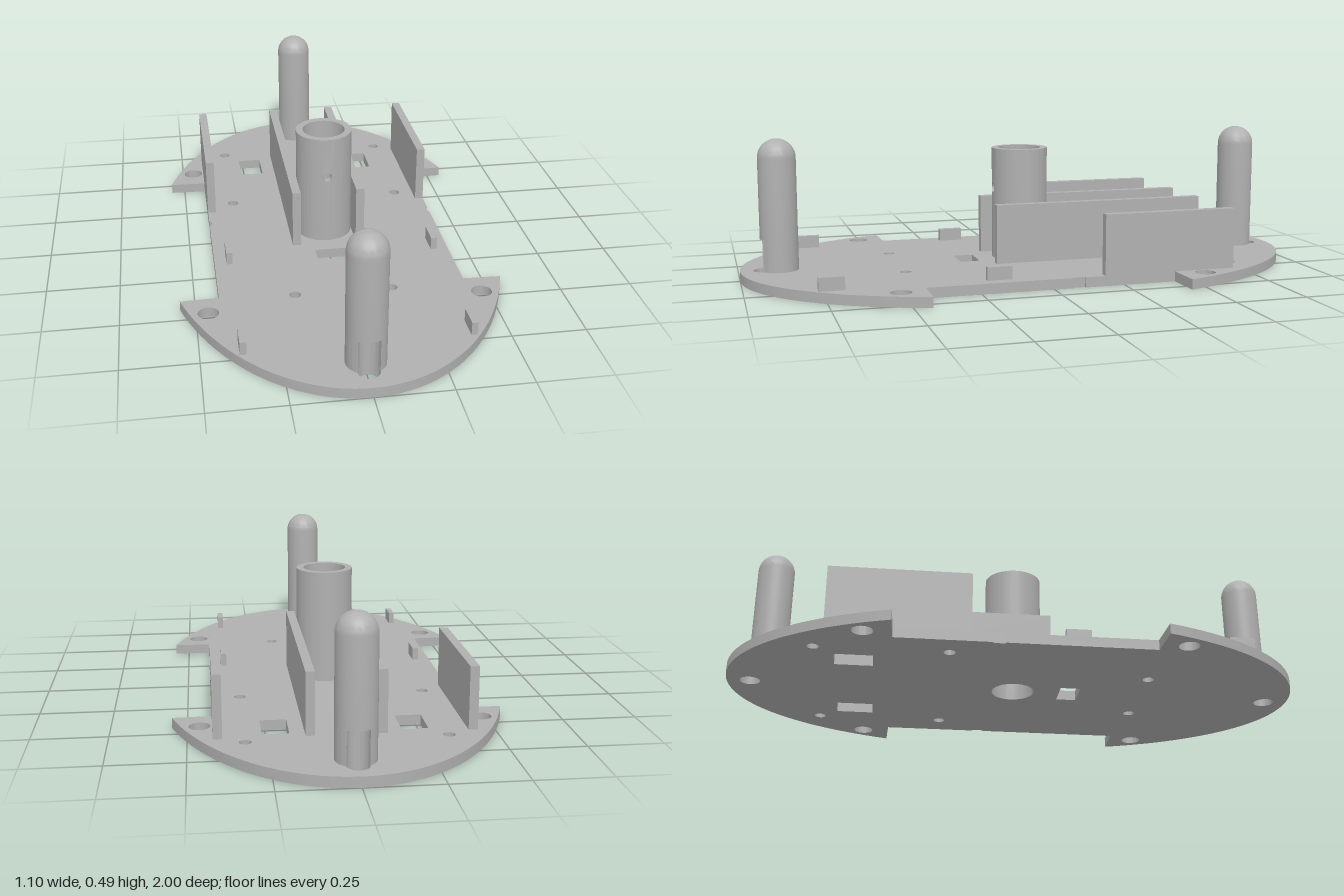
import * as THREE from 'three';
import { toCreasedNormals } from 'three/addons/utils/BufferGeometryUtils.js';

const T = 0.035; // base plate thickness

// Path helpers: plan shapes use (x, -z)
function circle(x, z, r) {
  return new THREE.Path().absarc(x, -z, r, 0, Math.PI * 2, false);
}
function rect(x0, x1, z0, z1) {
  return new THREE.Path([[x0, -z0], [x1, -z0], [x1, -z1], [x0, -z1]].map(p => new THREE.Vector2(...p)));
}
// Raise a plan shape upright from y0 to y1
function raise(shape, y0, y1, segments = 24) {
  const g = new THREE.ExtrudeGeometry(shape, { depth: y1 - y0, bevelEnabled: false, curveSegments: segments });
  g.rotateX(-Math.PI / 2).translate(0, y0, 0);
  return toCreasedNormals(g, 0.5);
}

export function createModel() {
  const model = new THREE.Group();
  model.name = 'chassis';
  const grey = new THREE.MeshStandardMaterial({ color: 0xb0b0b0 });
  grey.name = 'grey plastic';

  function add(name, geometry, parent = model) {
    const mesh = new THREE.Mesh(geometry, grey);
    mesh.name = name;
    parent.add(mesh);
    return mesh;
  }
  function box(name, x0, x1, y0, y1, z0, z1) {
    const g = new THREE.BoxGeometry(x1 - x0, y1 - y0, z1 - z0);
    add(name, g.translate((x0 + x1) / 2, (y0 + y1) / 2, (z0 + z1) / 2));
  }

  // Base plate: elliptical ends with wheel cutouts along both sides
  const a = 0.6125, start = Math.asin(0.44), side = 0.42;
  const pts = [];
  for (const s of [1, -1]) {
    for (let i = 0; i <= 48; i++) {
      const t = start + (Math.PI - 2 * start) * i / 48;
      pts.push(new THREE.Vector2(s * a * Math.cos(t), s * Math.sin(t)));
    }
    // Straight side with its shallow nick
    const nick = s > 0 ? [0.11, 0.07] : [0.07, 0.11];
    pts.push(new THREE.Vector2(-s * side, s * 0.435));
    pts.push(new THREE.Vector2(-s * side, nick[0]), new THREE.Vector2(-s * (side - 0.007), nick[0]));
    pts.push(new THREE.Vector2(-s * (side - 0.007), nick[1]), new THREE.Vector2(-s * side, nick[1]));
    pts.push(new THREE.Vector2(-s * side, -s * 0.435));
  }
  const plate = new THREE.Shape(pts);
  plate.holes.push(circle(0, 0, 0.075), rect(-0.055, 0.055, 0.165, 0.235));
  for (const s of [-1, 1]) {
    plate.holes.push(
      circle(s * 0.46, -0.53, 0.035), circle(s * 0.46, 0.525, 0.035),
      circle(s * 0.32, -0.69, 0.02), circle(s * 0.32, -0.245, 0.02),
      circle(s * 0.165, 0.455, 0.02), circle(0, s * 0.92, 0.035));
    const x = s * 0.2225;
    plate.holes.push(rect(x - 0.0435, x + 0.0435, -0.625, -0.495));
  }
  add('basePlate', raise(plate, 0, T));

  // Central tube, open at the front for the drilled sector
  const ro = 0.1, ri = 0.075, top = 0.435, gap = 0.25;
  const ring = new THREE.Shape();
  ring.absarc(0, 0, ro, -Math.PI / 2 + gap, 1.5 * Math.PI - gap, false);
  ring.absarc(0, 0, ri, 1.5 * Math.PI - gap, -Math.PI / 2 + gap, true);
  add('centreTube', raise(ring, T, top, 56));

  // Drilled sector: a flat strip with a hole, bent around the tube axis
  const w = gap * ro, edge = [];
  for (let i = 0; i <= 4; i++) edge.push(new THREE.Vector2(-w + i * w / 2, T));
  for (let i = 4; i >= 0; i--) edge.push(new THREE.Vector2(-w + i * w / 2, top));
  const strip = new THREE.Shape(edge);
  strip.holes.push(new THREE.Path().absarc(0, 0.29, 0.016, 0, Math.PI * 2, false));
  const bent = new THREE.ExtrudeGeometry(strip, { depth: ro - ri, bevelEnabled: false, curveSegments: 16 });
  const p = bent.attributes.position;
  for (let i = 0; i < p.count; i++) {
    const r = ri + p.getZ(i), t = p.getX(i) / ro;
    p.setXYZ(i, r * Math.sin(t), p.getY(i), r * Math.cos(t));
  }
  add('drilledTubeSector', toCreasedNormals(bent, 0.6));

  // Domed posts, each with a round notch at the foot facing outward
  const R = 0.065, phi = Math.asin(0.035 / R);
  const foot = new THREE.Shape();
  foot.absarc(0, 0, R, -Math.PI / 2 + phi, 1.5 * Math.PI - phi, false);
  foot.absarc(0, -0.055, 0.035, Math.PI, 0, true);
  const profile = [new THREE.Vector2(0, 0.145), new THREE.Vector2(R, 0.145)];
  for (let i = 0; i <= 12; i++) {
    const t = i / 12 * Math.PI / 2;
    profile.push(new THREE.Vector2(i === 12 ? 0 : R * Math.cos(t), 0.425 + R * Math.sin(t)));
  }
  const footGeo = raise(foot, T, 0.145, 40);
  const shaftGeo = toCreasedNormals(new THREE.LatheGeometry(profile, 40), 0.6);
  for (const s of [1, -1]) {
    const post = new THREE.Group();
    post.name = s > 0 ? 'frontPost' : 'backPost';
    add('postFoot', footGeo, post);
    add('postShaft', shaftGeo, post);
    post.position.z = s * 0.865;
    if (s < 0) post.rotation.y = Math.PI;
    model.add(post);
  }

  // Upright walls and small tabs, mirrored left and right
  for (const s of [1, -1]) {
    const label = s > 0 ? 'left' : 'right';
    const pair = (name, x0, x1, h, z0, z1) =>
      box(label + name, Math.min(s * x0, s * x1), Math.max(s * x0, s * x1), T, h, z0, z1);
    pair('InnerWall', 0.1, 0.13, 0.245, -0.655, 0.12);
    pair('OuterWall', 0.39, 0.42, 0.245, -0.655, -0.18);
    pair('MiddleTab', 0.357, 0.378, 0.08, 0.135, 0.22);
    pair('FrontTab', 0.357, 0.378, 0.08, 0.69, 0.775);
  }
  return model;
}
